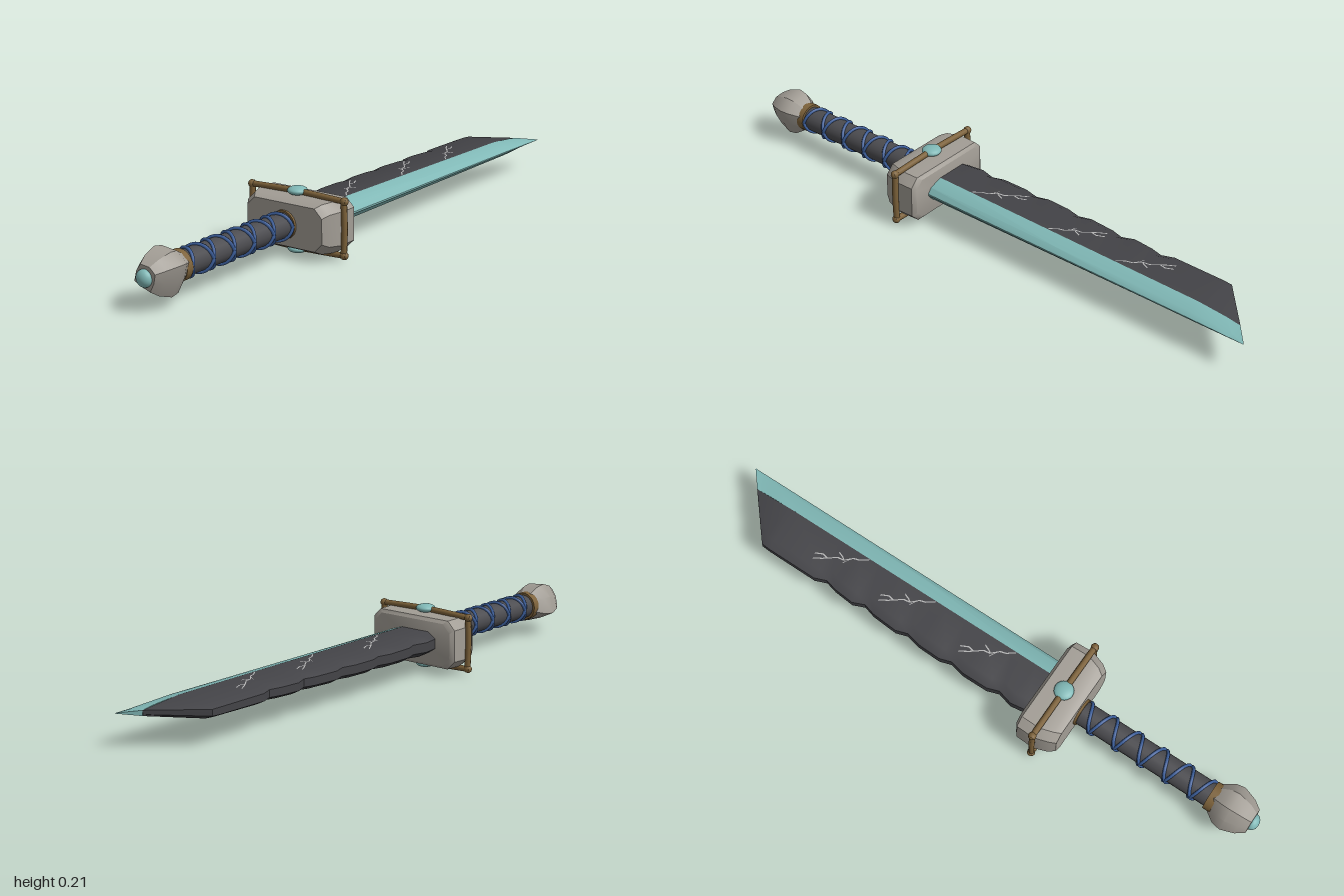
import * as THREE from 'three';
import { toCreasedNormals } from 'three/addons/utils/BufferGeometryUtils.js';

const CY = 0.107; // height of the sword's long axis

const material = (name, color, side = THREE.FrontSide) => {
  const m = new THREE.MeshStandardMaterial({ color, side });
  m.name = name;
  return m;
};

// Joins closed loops (counter-clockwise seen from +z, z increasing) and caps both ends.
function loft(sections, crease) {
  const p = [];
  const tri = (a, b, c) => p.push(...a, ...b, ...c);
  const n = sections[0].length;
  const middle = (s) => [0, 1, 2].map((k) => s.reduce((t, v) => t + v[k], 0) / n);
  for (let s = 0; s < sections.length - 1; s++) {
    const a = sections[s], b = sections[s + 1];
    for (let i = 0; i < n; i++) {
      const j = (i + 1) % n;
      tri(a[i], a[j], b[j]);
      tri(a[i], b[j], b[i]);
    }
  }
  const first = sections[0], last = sections[sections.length - 1];
  const c0 = middle(first), c1 = middle(last);
  for (let i = 0; i < n; i++) {
    const j = (i + 1) % n;
    tri(c0, first[j], first[i]);
    tri(c1, last[i], last[j]);
  }
  const g = new THREE.BufferGeometry();
  g.setAttribute('position', new THREE.Float32BufferAttribute(p, 3));
  return toCreasedNormals(g, crease);
}

// Linear interpolation in a list of [z, value] pairs with z increasing.
function lerpTable(table, z) {
  for (let i = 1; i < table.length; i++) {
    if (z <= table[i][0]) {
      const [z0, v0] = table[i - 1], [z1, v1] = table[i];
      return v0 + (v1 - v0) * (z - z0) / (z1 - z0);
    }
  }
  return table[table.length - 1][1];
}

// Half thickness of the blade and the outline of its notched back
const THICK = [[-1, 0.001], [-0.9, 0.016], [-0.8, 0.024], [0.24, 0.036]];
const BACK = [
  [-0.95, 0.039], [-0.82, -0.108], [-0.79, -0.11], [-0.61, -0.11], [-0.57, -0.094], [-0.53, -0.104],
  [-0.46, -0.11], [-0.42, -0.093], [-0.38, -0.104], [-0.29, -0.11], [-0.25, -0.097], [-0.2, -0.108],
  [-0.12, -0.11], [-0.08, -0.097], [-0.03, -0.108], [0.06, -0.107], [0.1, -0.093], [0.15, -0.106],
  [0.19, -0.1], [0.24, -0.09],
];

function createModel() {
  const model = new THREE.Group();
  model.name = 'sword';
  const dark = material('dark metal', 0x434347);
  const teal = material('teal crystal', 0x80b8b6);
  const stone = material('grey stone', 0xa29d95);
  const bronze = material('bronze', 0x7d623a);
  const blue = material('blue cord', 0x3c5f9c);
  const grip = material('grip leather', 0x4c4c50);
  const pale = material('pale crack', 0xb4b4b4, THREE.DoubleSide);

  const sword = new THREE.Group();
  sword.name = 'swordParts';
  sword.position.y = CY;
  model.add(sword);
  const add = (name, geometry, mat, x = 0, y = 0, z = 0) => {
    const m = new THREE.Mesh(geometry, mat);
    m.name = name;
    m.position.set(x, y, z);
    sword.add(m);
    return m;
  };

  // Dark blade body with a bevelled, notched back
  add('bladeBody', loft(BACK.map(([z, l]) => {
    const t = lerpTable(THICK, z), bevel = Math.min(l + 0.03, 0.04);
    return [[l, t * 0.45, z], [l, -t * 0.45, z], [bevel, -t, z], [0.04, -t, z], [0.04, t, z], [bevel, t, z]];
  }), 0.6), dark);

  // Teal cutting edge running to the point
  add('cuttingEdge', loft([-1, -0.95, -0.9, -0.8, -0.3, 0.24].map((z) => {
    const t = lerpTable(THICK, z);
    const inner = z < -0.95 ? 0.097 : 0.04;
    const mid = inner + (0.1 - inner) * 0.75;
    return [[inner, t, z], [inner, -t, z], [mid, -t * 0.6, z], [0.1, -t * 0.08, z], [0.1, t * 0.08, z], [mid, t * 0.6, z]];
  }), 0.5), teal);

  // Branching cracks: thin ribbons on both faces
  const strokes = [
    [[-0.042, -0.085], [-0.03, -0.06], [-0.034, -0.04], [-0.014, -0.015], [-0.01, 0.008], [0.012, 0.03], [0.018, 0.05], [0.037, 0.075]],
    [[-0.06, -0.08], [-0.045, -0.055], [-0.034, -0.04]],
    [[0.004, -0.02], [-0.004, 0], [-0.01, 0.008]],
    [[-0.02, 0.01], [0.002, 0.022], [0.012, 0.03]],
  ];
  for (const side of [1, -1]) {
    for (const shift of [0, -0.31, -0.57]) {
      const p = [];
      for (const line of strokes) {
        for (let i = 1; i < line.length; i++) {
          const [x0, a] = line[i - 1], [x1, b] = line[i];
          const z0 = a + shift, z1 = b + shift, w = 0.0022;
          const y0 = side * (lerpTable(THICK, z0) + 0.001), y1 = side * (lerpTable(THICK, z1) + 0.001);
          const q = [[x0 - w, y0, z0], [x1 - w, y1, z1], [x1 + w, y1, z1], [x0 + w, y0, z0]];
          const order = side > 0 ? [0, 1, 2, 0, 2, 3] : [0, 2, 1, 0, 3, 2];
          for (const k of order) p.push(...q[k]);
        }
      }
      const g = new THREE.BufferGeometry();
      g.setAttribute('position', new THREE.Float32BufferAttribute(p, 3));
      g.computeVertexNormals();
      add('crack', g, pale);
    }
  }

  // Stone guard: chamfered block narrowing towards the grip
  add('guard', loft([[0.206, 0.155, 0.07], [0.216, 0.168, 0.08], [0.28, 0.17, 0.081], [0.325, 0.155, 0.078], [0.346, 0.142, 0.068]]
    .map(([z, w, h]) => {
      const c = 0.028;
      return [[w, h - c], [w - c, h], [c - w, h], [-w, h - c], [-w, c - h], [c - w, -h], [w - c, -h], [w, c - h]]
        .map(([x, y]) => [x, y, z]);
    }), 0.6), stone);

  // Bronze frame of bars around the guard, with jewels above and below
  const bar = (name, points) => add(name, new THREE.TubeGeometry(
    new THREE.CatmullRomCurve3(points.map(([x, y]) => new THREE.Vector3(x, y, 0.278))), 12, 0.01, 8), bronze);
  for (const s of [1, -1]) {
    bar('frameBar', [[-0.185, s * 0.085], [0, s * 0.09], [0.185, s * 0.085]]);
    bar('framePost', [[s * 0.174, -0.092], [s * 0.177, 0], [s * 0.174, 0.092]]);
    for (const t of [1, -1]) add('frameCorner', new THREE.IcosahedronGeometry(0.0135, 1), bronze, s * 0.176, t * 0.085, 0.278);
    add('guardJewel', new THREE.SphereGeometry(0.032, 20, 12), teal, 0, s * 0.092, 0.278).scale.y = 0.44;
  }

  // Grip with bronze collars
  const rod = (name, r, z0, z1, mat) => add(name,
    new THREE.CylinderGeometry(r, r, z1 - z0, 20).rotateX(Math.PI / 2), mat, 0, 0, (z0 + z1) / 2);
  rod('grip', 0.04, 0.33, 0.84, grip);
  rod('guardCollar', 0.046, 0.335, 0.354, bronze);
  rod('pommelCollar', 0.048, 0.826, 0.852, bronze);

  // Two cords crossing along the grip
  for (const dir of [1, -1]) {
    const points = [];
    for (let i = 0; i <= 80; i++) {
      const a = dir * (i / 80) * Math.PI * 10;
      points.push(new THREE.Vector3(0.043 * Math.cos(a), 0.043 * Math.sin(a), 0.358 + 0.465 * i / 80));
    }
    add('gripCord', new THREE.TubeGeometry(new THREE.CatmullRomCurve3(points), 240, 0.0055, 6), blue);
  }

  // Rough-cut stone pommel with a jewel set in its end
  const cut = [[0.071, 0.03], [0.034, 0.063], [-0.028, 0.07], [-0.057, 0.028], [-0.071, -0.028], [-0.02, -0.052], [0.034, -0.07], [0.06, -0.02]];
  add('pommel', loft([[0.838, 0.6], [0.875, 0.93], [0.905, 1], [0.95, 0.8], [0.978, 0.55]]
    .map(([z, k]) => cut.map(([x, y]) => [x * k, y * k, z])), 0.5), stone);
  add('pommelJewel', new THREE.SphereGeometry(0.027, 20, 12), teal, 0, 0, 0.98).scale.z = 0.74;

  return model;
}

export { createModel };
